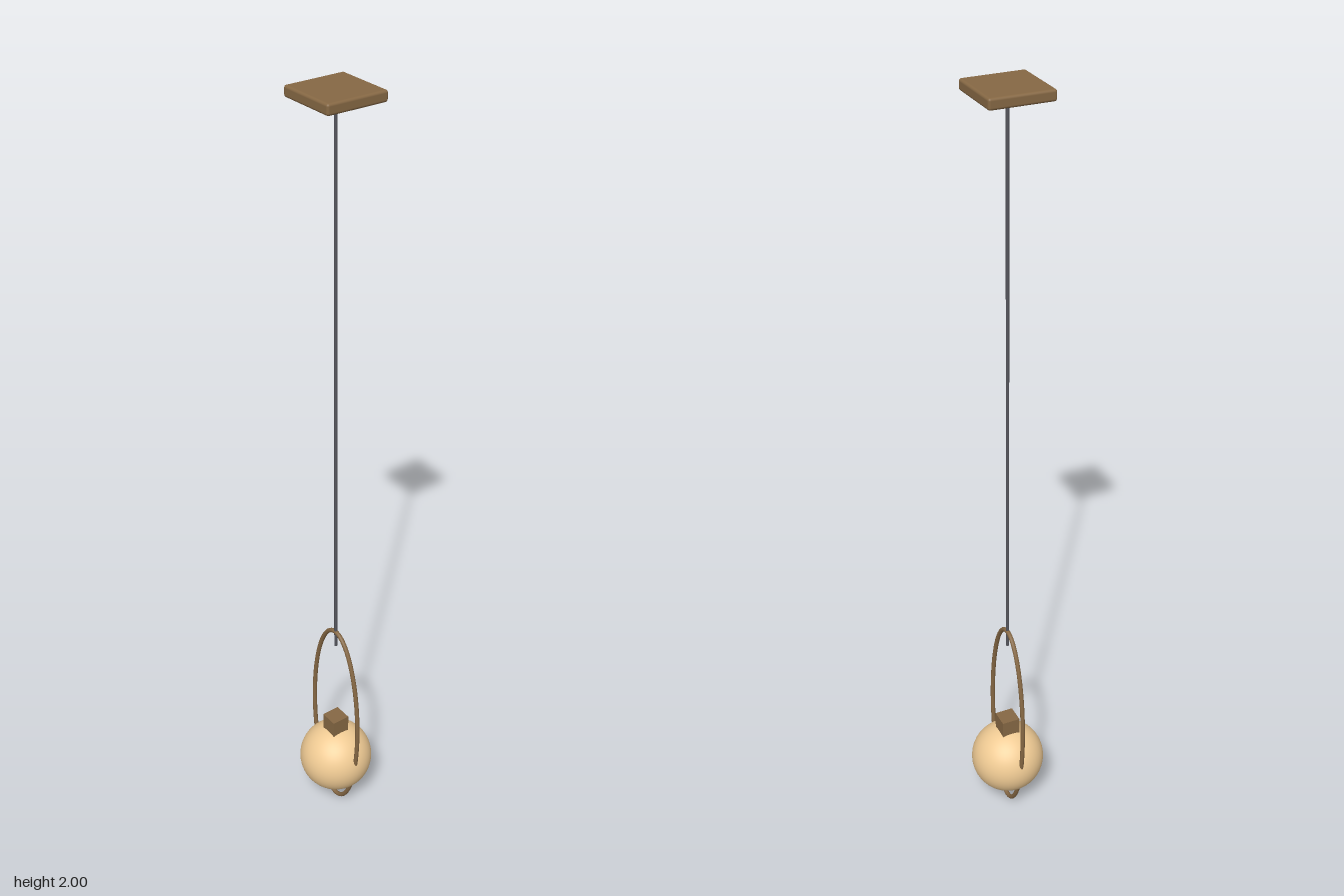
import * as THREE from 'three';
import { RoundedBoxGeometry } from 'three/addons/geometries/RoundedBoxGeometry.js';

export function createModel() {
  const group = new THREE.Group();
  const wood = new THREE.MeshStandardMaterial({ color: 0x866844 });
  const metal = new THREE.MeshStandardMaterial({ color: 0x55555c });
  const glass = new THREE.MeshStandardMaterial({ color: 0xf0cb94 });

  const add = (name, geometry, material, y) => {
    const mesh = new THREE.Mesh(geometry, material);
    mesh.name = name;
    mesh.position.y = y;
    group.add(mesh);
  };

  // Square ceiling plate with softened edges
  add('ceilingPlate', new RoundedBoxGeometry(0.156, 0.026, 0.156, 3, 0.006), wood, 1.987);

  // Cable from the plate to just inside the hoop
  add('cable', new THREE.CylinderGeometry(0.004, 0.004, 1.45, 12), metal, 1.255);

  // Tall oval hoop of round section
  const points = [];
  for (let i = 0; i < 48; i++) {
    const a = (i / 48) * Math.PI * 2;
    points.push(new THREE.Vector3(0.096 * Math.cos(a), 0.284 * Math.sin(a), 0));
  }
  const oval = new THREE.CatmullRomCurve3(points, true);
  add('hoop', new THREE.TubeGeometry(oval, 128, 0.0058, 12, true), wood, 0.29);

  // Globe and the square socket on top of it
  add('globe', new THREE.SphereGeometry(0.097, 48, 32), glass, 0.15);
  add('socket', new THREE.BoxGeometry(0.048, 0.05, 0.048), wood, 0.263);

  return group;
}
